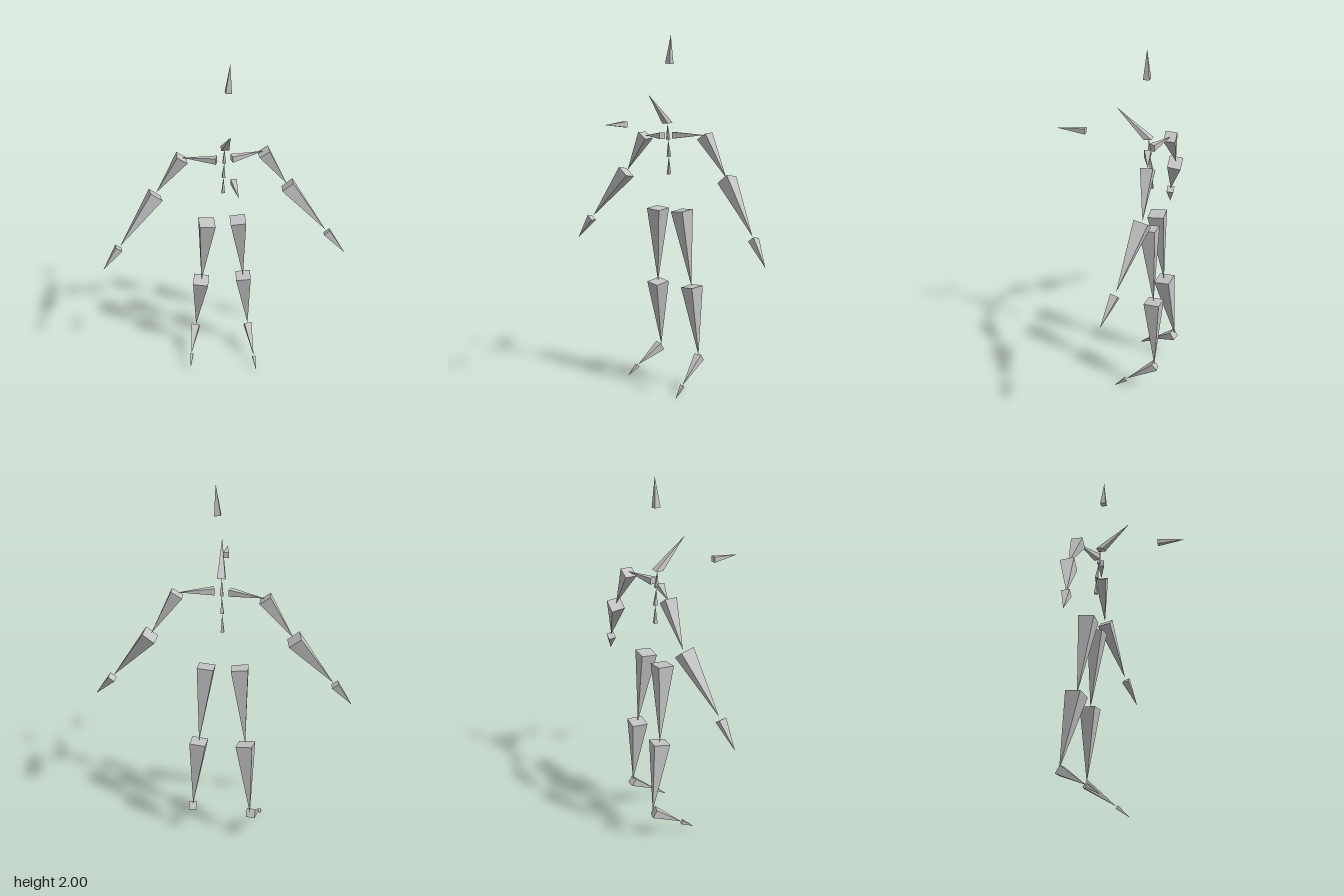
import * as THREE from 'three';

const bonePaint = new THREE.MeshStandardMaterial({ color: 0xc4c4c4 });
bonePaint.name = 'boneGrey';
const V = (a) => new THREE.Vector3(...a);

// Square-based spike: base centre, tip, base width, side hint, optional base normal
function bone(name, base, tip, width, hint = [1, 0, 0], normal = null) {
  const b = V(base), t = V(tip);
  const d = (normal ? V(normal) : t.clone().sub(b)).normalize();
  const u = V(hint).addScaledVector(d, -V(hint).dot(d)).normalize();
  const v = d.clone().cross(u);
  const h = width / 2;
  const corners = [[-h, -h], [h, -h], [h, h], [-h, h]].map(([p, q]) =>
    b.clone().addScaledVector(u, p).addScaledVector(v, q));
  const indexed = new THREE.BufferGeometry().setFromPoints([...corners, t]);
  indexed.setIndex([0, 1, 4, 1, 2, 4, 2, 3, 4, 3, 0, 4, 0, 2, 1, 0, 3, 2]);
  const geometry = indexed.toNonIndexed();
  geometry.computeVertexNormals();
  const mesh = new THREE.Mesh(geometry, bonePaint);
  mesh.name = name;
  return mesh;
}

export function createModel() {
  const model = new THREE.Group();
  model.name = 'skeletonRig';
  const add = (...args) => model.add(bone(...args));
  const Z = [0, 0, 1];

  // Spine, as a chain of three thin spikes
  const spine = [[-0.005, 1.235, -0.19], [-0.003, 1.335, -0.187], [0, 1.43, -0.177], [0, 1.52, -0.17]];
  for (let i = 0; i < 3; i++) add('spine' + (i + 1), spine[i], spine[i + 1], 0.018);

  // Head and the two free markers
  add('head', [0.002, 1.522, -0.168], [0.01, 1.677, 0], 0.042, [1, 0, 0], [0, 1, 0.1]);
  add('headTop', [0.02, 1.845, -0.16], [0.03, 2, -0.16], 0.033);
  add('gazeMarker', [0, 1.523, 0.172], [0.003, 1.523, 0.33], 0.031);

  // Left arm
  add('leftCollar', [0.04, 1.455, -0.175], [0.22, 1.46, -0.222], 0.036, Z);
  add('leftUpperArm', [0.222, 1.455, -0.222], [0.36, 1.235, -0.235], 0.066, Z);
  add('leftLowerArm', [0.365, 1.225, -0.235], [0.585, 0.948, -0.165], 0.077, Z);
  add('leftHand', [0.594, 0.933, -0.162], [0.7, 0.805, -0.117], 0.042, Z);

  // Right arm
  add('rightCollar', [-0.042, 1.45, -0.175], [-0.22, 1.445, -0.235], 0.036, Z);
  add('rightUpperArm', [-0.222, 1.445, -0.235], [-0.37, 1.235, -0.24], 0.066, Z);
  add('rightLowerArm', [-0.375, 1.223, -0.235], [-0.592, 0.945, -0.168], 0.077, Z);
  add('rightHand', [-0.602, 0.933, -0.165], [-0.7, 0.803, -0.145], 0.042, Z);

  // Left leg
  add('leftThigh', [0.08, 1.036, -0.203], [0.12, 0.6, -0.245], 0.088, [1, 0, 0.06]);
  add('leftCalf', [0.121, 0.598, -0.247], [0.157, 0.195, -0.268], 0.088, [1, 0, 0.1]);
  add('leftFoot', [0.158, 0.185, -0.273], [0.172, 0.062, -0.108], 0.046, [1, 0, -0.05]);
  add('leftToes', [0.173, 0.058, -0.104], [0.178, 0, -0.036], 0.02, [1, 0, -0.05]);

  // Right leg
  add('rightThigh', [-0.097, 1.034, -0.203], [-0.132, 0.592, -0.245], 0.09, [1, 0, 0]);
  add('rightCalf', [-0.134, 0.59, -0.247], [-0.166, 0.185, -0.316], 0.09, [1, 0, 0.18]);
  add('rightFoot', [-0.17, 0.177, -0.31], [-0.213, 0.084, -0.16], 0.05, [1, 0, 0.2]);
  add('rightToes', [-0.214, 0.08, -0.155], [-0.227, 0.032, -0.086], 0.022, [1, 0, 0.2]);

  return model;
}
